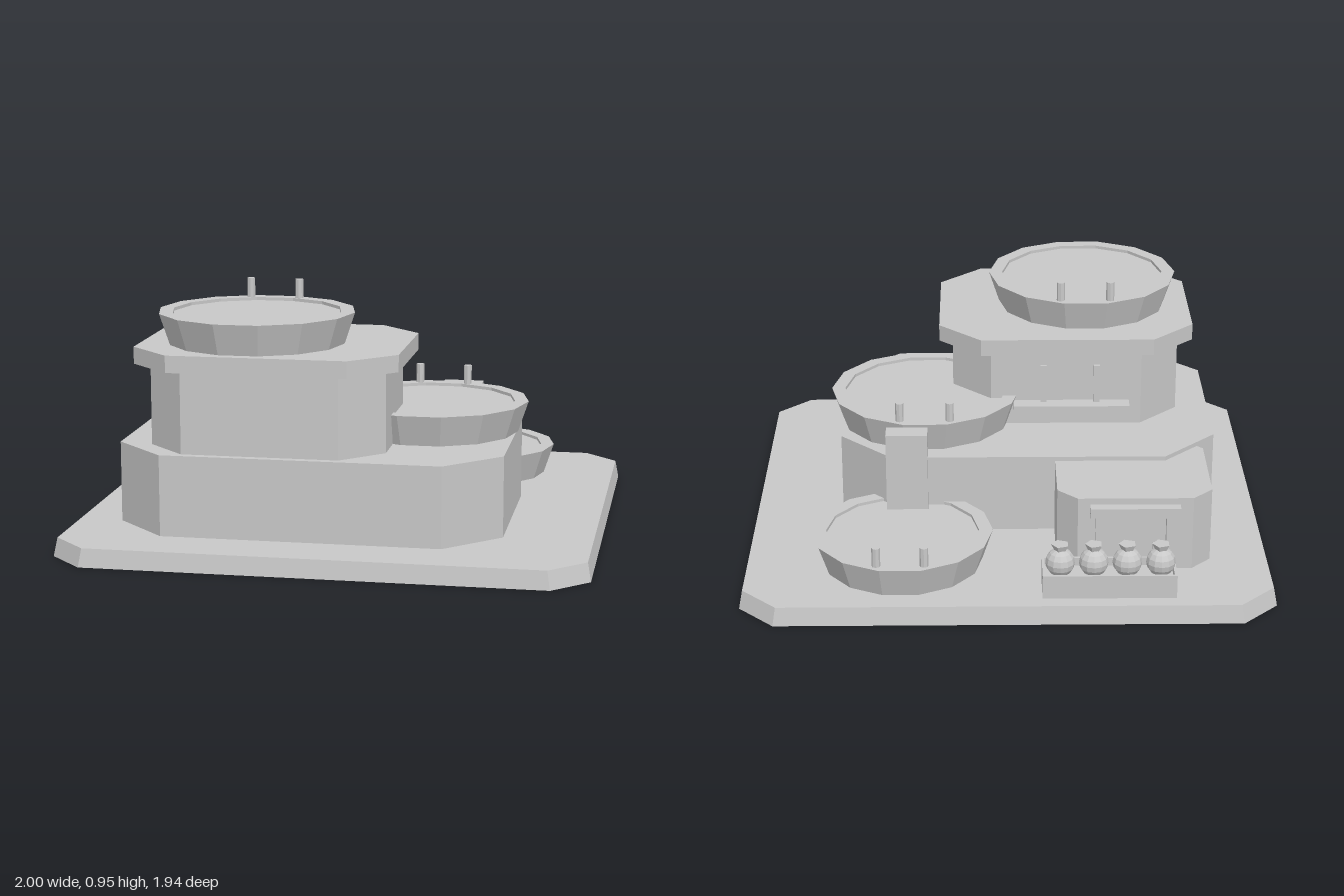
import * as THREE from 'three';

export function createModel() {
  const model = new THREE.Group();
  model.name = 'terracedBuilding';
  const stone = new THREE.MeshStandardMaterial({ color: 0xc8c8c8, flatShading: true, side: THREE.DoubleSide });
  stone.name = 'grey stone';

  function add(name, geometry, x = 0, y = 0, z = 0, parent = model) {
    const mesh = new THREE.Mesh(geometry, stone);
    mesh.name = name;
    mesh.position.set(x, y, z);
    parent.add(mesh);
    return mesh;
  }

  // Box given by its limits on each axis
  function block(name, x0, x1, y0, y1, z0, z1, parent = model) {
    return add(name, new THREE.BoxGeometry(x1 - x0, y1 - y0, z1 - z0),
      (x0 + x1) / 2, (y0 + y1) / 2, (z0 + z1) / 2, parent);
  }

  // Rectangle with four cut corners, as points in (x, -z)
  function cutCorners(x0, x1, z0, z1, cut) {
    const a = -z1, b = -z0;
    return [
      [x0 + cut, a], [x1 - cut, a], [x1, a + cut], [x1, b - cut],
      [x1 - cut, b], [x0 + cut, b], [x0, b - cut], [x0, a + cut],
    ].map(([x, y]) => new THREE.Vector2(x, y));
  }

  // Upright prism on that outline
  function cutCornerPrism(x0, x1, y0, y1, z0, z1, cut) {
    const shape = new THREE.Shape(cutCorners(x0, x1, z0, z1, cut));
    return new THREE.ExtrudeGeometry(shape, { depth: y1 - y0, bevelEnabled: false })
      .rotateX(-Math.PI / 2).translate(0, y0, 0);
  }

  // Ground: a thin sheet on a sloping skirt, open underneath
  const ground = 0.07;
  const foot = cutCorners(-1, 1, -0.97, 0.97, 0.135);
  const rim = foot.map((v) => v.clone().multiplyScalar(0.987));
  add('groundSheet', new THREE.ShapeGeometry(new THREE.Shape(rim)).rotateX(-Math.PI / 2), 0, ground, 0);
  const corners = [];
  foot.forEach((a, i) => {
    const j = (i + 1) % foot.length, b = foot[j], c = rim[j], d = rim[i];
    for (const [v, y] of [[a, 0], [b, 0], [c, ground], [a, 0], [c, ground], [d, ground]]) {
      corners.push(v.x, y, -v.y);
    }
  });
  const skirt = new THREE.BufferGeometry();
  skirt.setAttribute('position', new THREE.Float32BufferAttribute(corners, 3));
  skirt.computeVertexNormals();
  add('groundSkirt', skirt);

  // Stacked storeys
  add('lowerStorey', cutCornerPrism(-0.82, 0.65, ground, 0.38, -0.33, 0.74, 0.205));
  add('upperStorey', cutCornerPrism(-0.69, 0.21, 0.38, 0.695, -0.005, 0.71, 0.152));
  add('roofSlab', cutCornerPrism(-0.745, 0.263, 0.695, 0.76, -0.065, 0.758, 0.165));
  add('rearAnnex', cutCornerPrism(-0.77, -0.187, ground, 0.363, -0.665, -0.145, 0.075));
  block('rearColumn', 0.305, 0.465, ground, 0.49, -0.37, -0.29);

  // Flared landing pads with a rim, a shallow sunken deck and two posts
  function landingPad(name, x, y, z, r) {
    const pad = new THREE.Group();
    pad.name = name;
    pad.position.set(x, y, z);
    const sides = 14, inner = r - 0.053, deck = 0.108;
    const profile = [[0, 0], [r - 0.04, 0], [r, 0.12], [inner, 0.12], [inner, deck], [0, deck]]
      .map(([px, py]) => new THREE.Vector2(px, py));
    add('flaredBowl', new THREE.LatheGeometry(profile, sides).rotateY(Math.PI / sides), 0, 0, 0, pad);
    for (const s of [-1, 1]) {
      add('padPost', new THREE.CylinderGeometry(0.016, 0.016, 0.09, 8),
        s * r * 0.257, 0.15, -(r - 0.05), pad);
    }
    model.add(pad);
  }
  landingPad('upperPad', -0.315, 0.76, 0.387, 0.378);
  landingPad('middlePad', 0.317, 0.38, 0.08, 0.378);
  landingPad('lowerPad', 0.398, ground, -0.57, 0.343);

  // Rear balcony ledge and wall strips
  block('balconyLedge', -0.49, -0.03, 0.445, 0.48, -0.072, 0);
  for (const x of [-0.36, -0.15]) block('wallStrip', x - 0.012, x + 0.012, 0.48, 0.635, -0.028, -0.015);

  // Annex doorway, with its sill sunk below the ground sheet
  block('doorLintel', -0.645, -0.308, 0.3, 0.338, -0.705, -0.655);
  for (const x of [-0.61, -0.345]) block('doorJamb', x - 0.017, x + 0.017, ground, 0.3, -0.693, -0.655);
  block('doorHandle', -0.57, -0.545, 0.15, 0.18, -0.68, -0.66);
  block('doorSill', -0.655, -0.325, 0.003, ground, -0.72, -0.635);

  // Open trough
  const trough = new THREE.Group();
  trough.name = 'trough';
  model.add(trough);
  block('troughFloor', -0.61, -0.135, ground, 0.13, -0.89, -0.755, trough);
  for (const z of [-0.9, -0.755]) block('troughLongWall', -0.62, -0.125, ground, 0.162, z, z + 0.01, trough);
  for (const x of [-0.62, -0.135]) block('troughEndWall', x, x + 0.01, ground, 0.162, -0.89, -0.755, trough);

  // Row of jars with flared five-sided necks
  for (let i = 0; i < 4; i++) {
    const jar = new THREE.Group();
    jar.name = 'jar';
    jar.position.set(-0.563 + i * 0.124, 0, -0.828);
    add('jarBody', new THREE.SphereGeometry(0.055, 12, 8), 0, 0.185, 0, jar);
    add('jarNeck', new THREE.CylinderGeometry(0.034, 0.02, 0.03, 5).rotateY(0.3), 0, 0.243, 0, jar);
    model.add(jar);
  }
  return model;
}
